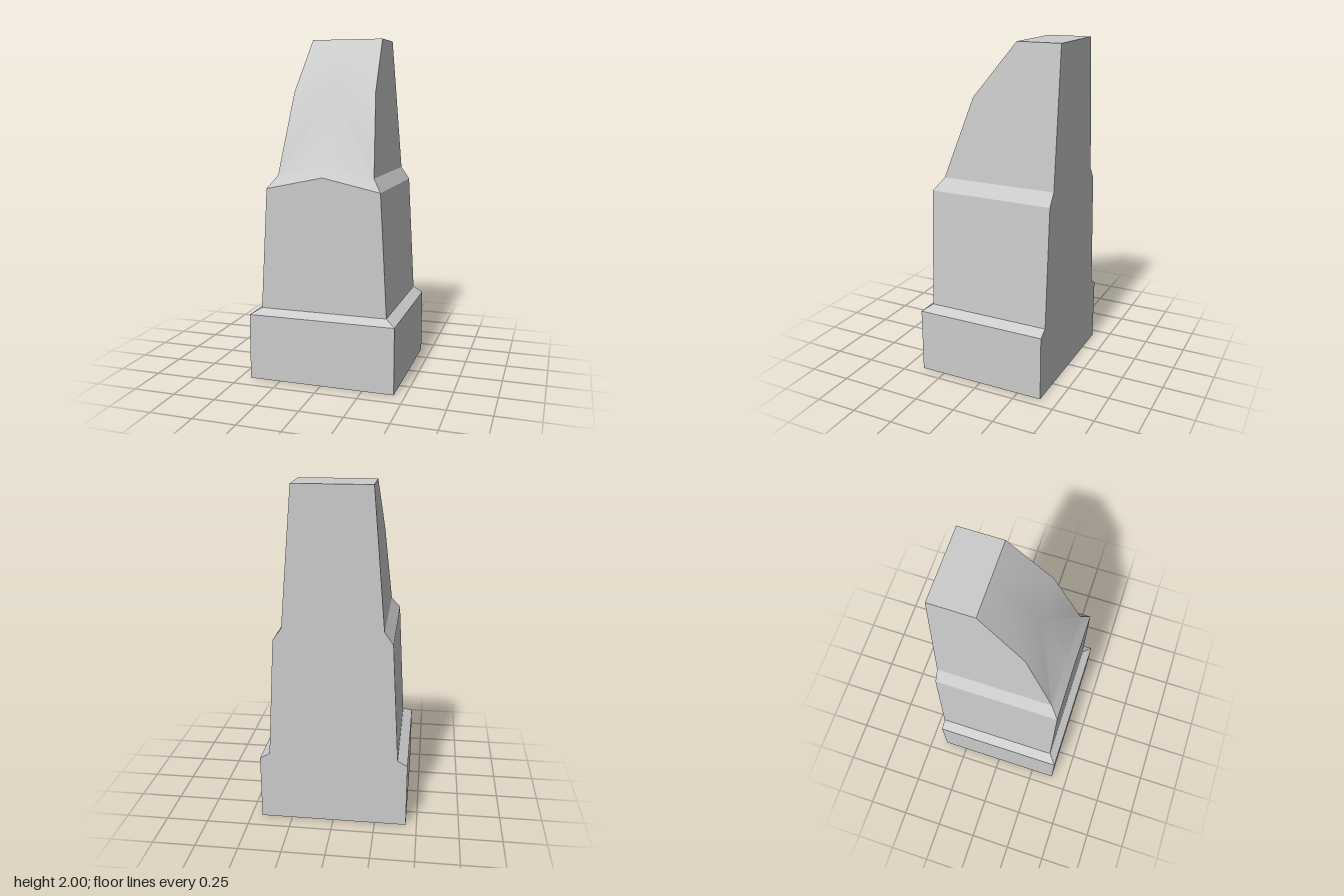
import * as THREE from 'three';
import { toCreasedNormals } from 'three/addons/utils/BufferGeometryUtils.js';

const BACK = -0.396;

// Cross-sections from bottom to top: half width, height, front depth, rise of the front's middle
const LEVELS = [
  [0.436, 0, 0.396, 0],
  [0.436, 0.39, 0.396, 0],
  [0.378, 0.424, 0.347, 0],
  [0.338, 1.135, 0.347, 0.073],
  [0.287, 1.208, 0.295, 0.07],
  [0.247, 1.685, 0.12, 0],
  [0.22, 2, -0.137, 0],
];

// Five corners, counter-clockwise from above, starting at the back on -x
function section([w, y, z, rise]) {
  return [[-w, y, BACK], [-w, y, z], [0, y + rise, z], [w, y, z], [w, y, BACK]];
}

function loft(levels) {
  const rings = levels.map(section);
  const n = rings[0].length;
  const positions = [];
  const tri = (a, b, c) => positions.push(...a, ...b, ...c);

  // Walls, with the diagonals mirrored about x = 0
  for (let k = 0; k < rings.length - 1; k++) {
    for (let i = 0; i < n; i++) {
      const j = (i + 1) % n;
      const a = rings[k][i], b = rings[k][j], c = rings[k + 1][j], d = rings[k + 1][i];
      if (i < 2) { tri(a, b, c); tri(a, c, d); }
      else { tri(a, b, d); tri(b, c, d); }
    }
  }

  // Top and bottom
  const top = rings[rings.length - 1], bottom = rings[0];
  for (let i = 1; i < n - 1; i++) {
    tri(top[0], top[i], top[i + 1]);
    tri(bottom[0], bottom[i + 1], bottom[i]);
  }

  const geometry = new THREE.BufferGeometry();
  geometry.setAttribute('position', new THREE.Float32BufferAttribute(positions, 3));
  return toCreasedNormals(geometry, THREE.MathUtils.degToRad(20));
}

export function createModel() {
  const group = new THREE.Group();
  group.name = 'buttress';
  const material = new THREE.MeshStandardMaterial({ color: 0xcccccc });

  // Plinth, shaft and sloping cap in one closed stone body
  const body = new THREE.Mesh(loft(LEVELS), material);
  body.name = 'buttressBody';
  group.add(body);
  return group;
}
